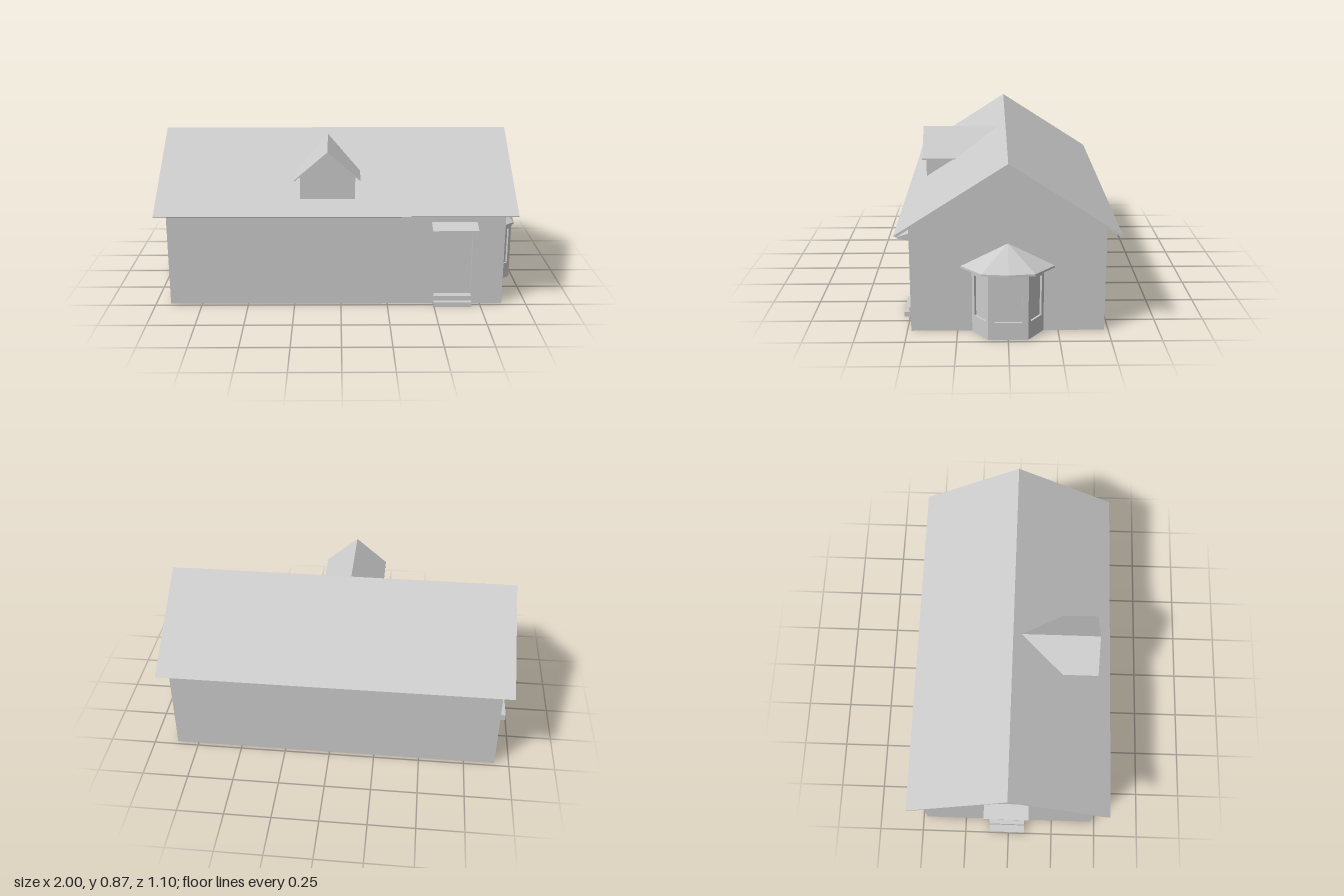
import * as THREE from 'three';

const mat = new THREE.MeshStandardMaterial({ color: 0xcccccc, flatShading: true, side: THREE.DoubleSide });

function add(parent, name, geometry) {
  const mesh = new THREE.Mesh(geometry, mat);
  mesh.name = name;
  parent.add(mesh);
  return mesh;
}

function group(parent, name, x = 0, y = 0, z = 0, turn = 0) {
  const g = new THREE.Group();
  g.name = name;
  g.position.set(x, y, z);
  g.rotation.y = turn;
  parent.add(g);
  return g;
}

// Flat convex faces, each given as a list of corners
function faces(polygons) {
  const pos = [];
  for (const p of polygons)
    for (let i = 1; i < p.length - 1; i++) pos.push(...p[0], ...p[i], ...p[i + 1]);
  const g = new THREE.BufferGeometry();
  g.setAttribute('position', new THREE.Float32BufferAttribute(pos, 3));
  g.computeVertexNormals();
  return g;
}

const outline = (pts) => new THREE.Shape(pts.map(([x, y]) => new THREE.Vector2(x, y)));

// Profile given as (outward, up) pairs, run across the width and centred
function acrossWidth(pts, width) {
  const g = new THREE.ExtrudeGeometry(outline(pts), { depth: width, bevelEnabled: false });
  return g.translate(0, 0, -width / 2).rotateY(-Math.PI / 2);
}

// Wall sheet with an opening that reaches the ground between x0 and x1
function wall(parent, name, left, right, top, x0, x1, h) {
  return add(parent, name, new THREE.ShapeGeometry(outline(
    [[left, 0], [x0, 0], [x0, h], [x1, h], [x1, 0], [right, 0], ...top])));
}

// Recessed door with two steps and a small wedge canopy
function entrance(parent, top, depth, stepDepth, stepHeight) {
  const w = 0.1, r = -0.02;
  add(parent, 'door', faces([[[-w, 0, r], [w, 0, r], [w, top, r], [-w, top, r]]]));
  add(parent, 'doorJambs', faces([
    [[-w, 0, 0], [-w, 0, r], [-w, top, r], [-w, top, 0]],
    [[w, 0, r], [w, 0, 0], [w, top, 0], [w, top, r]],
    [[-w, top, r], [w, top, r], [w, top, 0], [-w, top, 0]],
  ]));
  const s = stepDepth, h = stepHeight;
  add(parent, 'steps', acrossWidth([[r, 0], [2 * s, 0], [2 * s, h], [s, h], [s, 2 * h], [r, 2 * h]], 2 * w));
  add(parent, 'canopy', acrossWidth([[0, top], [depth, top], [depth, top + 0.006], [0, top + 0.03]], 0.24));
  for (const side of [-1, 1]) {
    const bracket = add(parent, 'canopyBracket', acrossWidth([[0, top - 0.015], [depth, top], [0, top]], 0.015));
    bracket.position.x = side * 0.1125;
  }
}

// One bay facet between two plan points: frame with a recessed pane
function bayFacet(parent, a, b, margin, height) {
  const dx = b[0] - a[0], dz = b[1] - a[1], w = Math.hypot(dx, dz), d = 0.012;
  const g = group(parent, 'bayFacet', a[0], 0, a[1], Math.atan2(-dz, dx));
  const shape = outline([[0, 0], [w, 0], [w, height], [0, height]]);
  const l = margin, r = w - margin, lo = 0.09, hi = 0.3;
  shape.holes.push(outline([[l, lo], [l, hi], [r, hi], [r, lo]]));
  add(g, 'bayFrame', new THREE.ExtrudeGeometry(shape, { depth: d, bevelEnabled: false }).translate(0, 0, -d));
  add(g, 'bayPane', new THREE.PlaneGeometry(r - l, hi - lo).translate((l + r) / 2, (lo + hi) / 2, -d + 0.001));
}

export function createModel() {
  const house = new THREE.Group();
  house.name = 'house';
  const xL = 0.87, xR = -0.92, zW = 0.48, eave = 0.545, apex = 0.857;
  const gable = [[zW, eave], [0, apex], [-zW, eave]];

  // Outer walls, open underneath
  const front = group(house, 'frontSide', 0, 0, zW);
  wall(front, 'frontWall', xR, xL, [[xL, eave], [xR, eave]], 0.5, 0.7, 0.433);
  const rightEnd = group(house, 'rightEnd', xR, 0, 0, -Math.PI / 2);
  wall(rightEnd, 'rightGable', -zW, zW, gable, -0.11, 0.09, 0.475);
  const leftEnd = group(house, 'leftEnd', xL, 0, 0, Math.PI / 2);
  wall(leftEnd, 'leftGable', -zW, zW, gable, -0.176, 0.176, 0.335);
  add(house, 'backWall', faces([[[xL, 0, -zW], [xR, 0, -zW], [xR, eave, -zW], [xL, eave, -zW]]]));

  // Main roof: one thin chevron along the house
  const roof = outline([[-0.547, 0.517], [0, 0.868], [0.547, 0.517], [0.534, 0.51], [0, 0.857], [-0.534, 0.51]]);
  const roofGeo = new THREE.ExtrudeGeometry(roof, { depth: 1.9, bevelEnabled: false });
  add(house, 'mainRoof', roofGeo.rotateY(Math.PI / 2).translate(-0.975, 0, 0));

  // Entrances on the front and the right end
  entrance(group(front, 'frontEntrance', 0.6), 0.434, 0.075, 0.025, 0.026);
  entrance(group(rightEnd, 'sideEntrance', -0.01), 0.476, 0.08, 0.04, 0.036);

  // Dormer, sinking into the front slope
  const dormer = group(house, 'dormer', -0.07);
  const dw = 0.145, dz = 0.445, slopeY = 0.575, top = 0.71, backZ = 0.235;
  add(dormer, 'dormerFront', faces([
    [[-dw, slopeY, dz], [dw, slopeY, dz], [dw, top, dz], [0, 0.832, dz], [-dw, top, dz]]]));
  for (const s of [-1, 1]) {
    add(dormer, 'dormerCheek', faces([[[s * dw, slopeY, dz], [s * dw, top, dz], [s * dw, top, backZ]]]));
    const ridge = 0.84, low = 0.692, e = 0.173, t = 0.008, zF = 0.467;
    add(dormer, 'dormerRoof', faces([
      [[0, ridge, zF], [s * e, low, zF], [s * e, low, 0.27], [0, ridge, 0.04]],
      [[0, ridge - t, zF], [s * e, low - t, zF], [s * e, low - t, 0.275], [0, ridge - t, 0.045]],
      [[0, ridge, zF], [s * e, low, zF], [s * e, low - t, zF], [0, ridge - t, zF]],
      [[s * e, low, zF], [s * e, low, 0.27], [s * e, low - t, 0.275], [s * e, low - t, zF]],
    ]));
  }

  // Bay window on the left end
  const bay = group(house, 'bayWindow');
  const plan = [[xL, 0.177], [0.98, 0.098], [0.98, -0.098], [xL, -0.177]];
  for (let i = 0; i < 3; i++) bayFacet(bay, plan[i], plan[i + 1], i === 1 ? 0.031 : 0.02, 0.335);

  // Bay roof: a fan from the wall with a shallow fascia and soffit
  const rim = [[xL, 0.23], [0.985, 0.129], [1.0, 0], [0.985, -0.129], [xL, -0.23]];
  const hi = 0.343, lo = 0.333, peak = [xL, 0.458, 0];
  const at = ([x, z], y) => [x, y, z];
  const parts = [rim.map((p) => at(p, lo)).reverse()];
  for (let i = 0; i < 4; i++) {
    const a = rim[i], b = rim[i + 1];
    parts.push([peak, at(a, hi), at(b, hi)], [at(a, hi), at(a, lo), at(b, lo), at(b, hi)]);
  }
  add(bay, 'bayRoof', faces(parts));

  return house;
}
